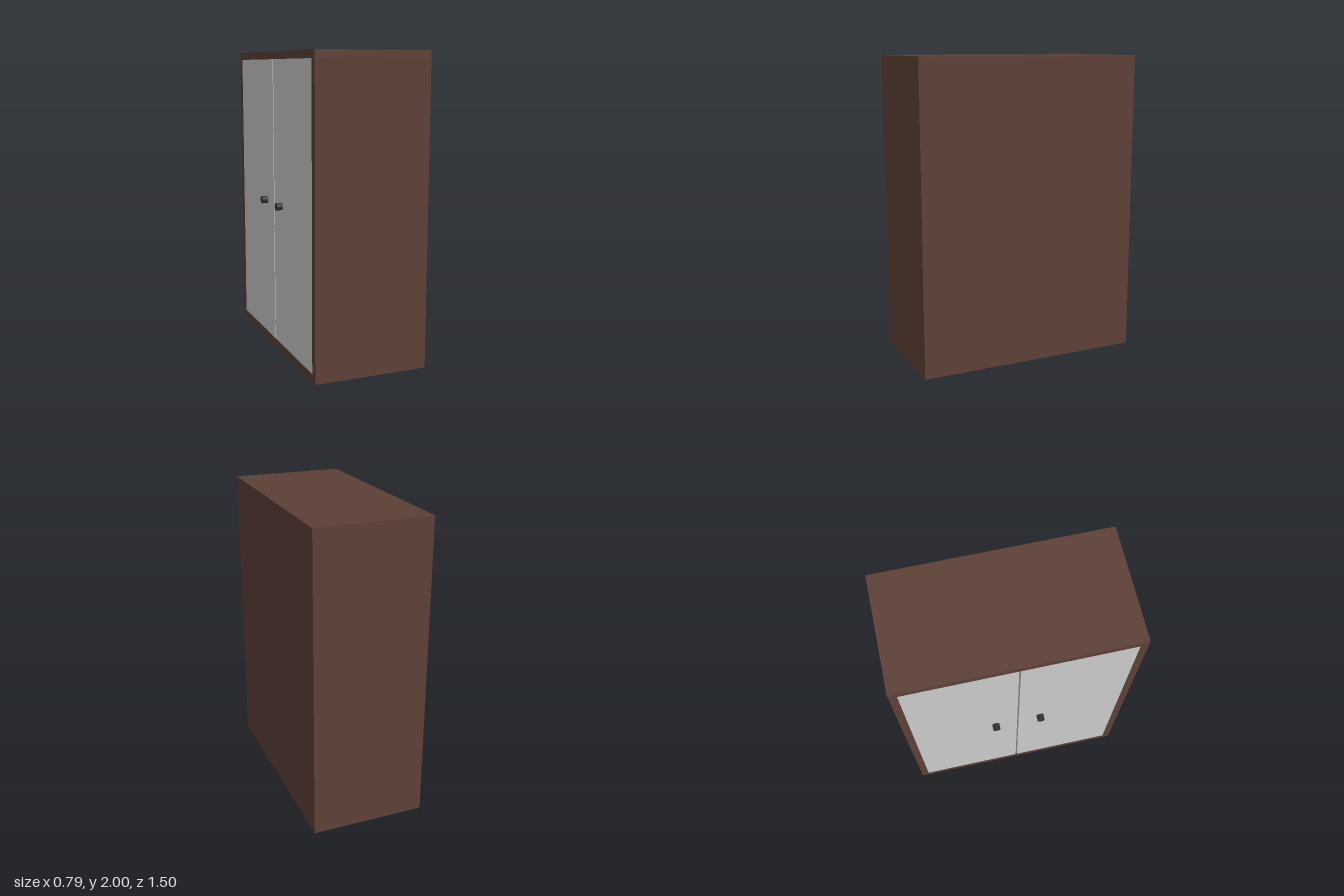
import * as THREE from 'three';

export function createModel() {
  const group = new THREE.Group();
  const wood = new THREE.MeshStandardMaterial({ color: 0x5d4037 });
  const grey = new THREE.MeshStandardMaterial({ color: 0xcccccc });
  const dark = new THREE.MeshStandardMaterial({ color: 0x333333 });

  const add = (name, geometry, material, x, y, z) => {
    const mesh = new THREE.Mesh(geometry, material);
    mesh.name = name;
    mesh.position.set(x, y, z);
    group.add(mesh);
    return mesh;
  };

  // Cabinet extents: the doors open towards -x
  const x0 = -0.357, x1 = 0.396, height = 2, width = 1.5, wall = 0.05;
  const depth = x1 - x0, midX = (x0 + x1) / 2;
  const innerH = height - 2 * wall, innerW = width - 2 * wall;

  // Carcass panels
  add('bottomPanel', new THREE.BoxGeometry(depth, wall, width), wood, midX, wall / 2, 0);
  add('topPanel', new THREE.BoxGeometry(depth, wall, width), wood, midX, height - wall / 2, 0);
  add('backPanel', new THREE.BoxGeometry(wall, innerH, innerW), wood, x1 - wall / 2, height / 2, 0);

  // Mirrored sides, doors and knobs
  const seam = 0.01, doorW = (innerW - seam) / 2, doorT = 0.04, knobL = 0.039;
  for (const [side, s] of [['right', -1], ['left', 1]]) {
    add(side + 'SidePanel', new THREE.BoxGeometry(depth, innerH, wall), wood,
      midX, height / 2, s * (width - wall) / 2);
    add(side + 'Door', new THREE.BoxGeometry(doorT, innerH, doorW), grey,
      x0 + doorT / 2 + 0.001, height / 2, s * (seam + doorW) / 2);
    const knob = add(side + 'Knob', new THREE.CylinderGeometry(0.024, 0.024, knobL + 0.002, 20), dark,
      x0 - knobL / 2 + 0.001, 1, s * 0.152);
    knob.rotation.z = Math.PI / 2;
  }
  return group;
}
